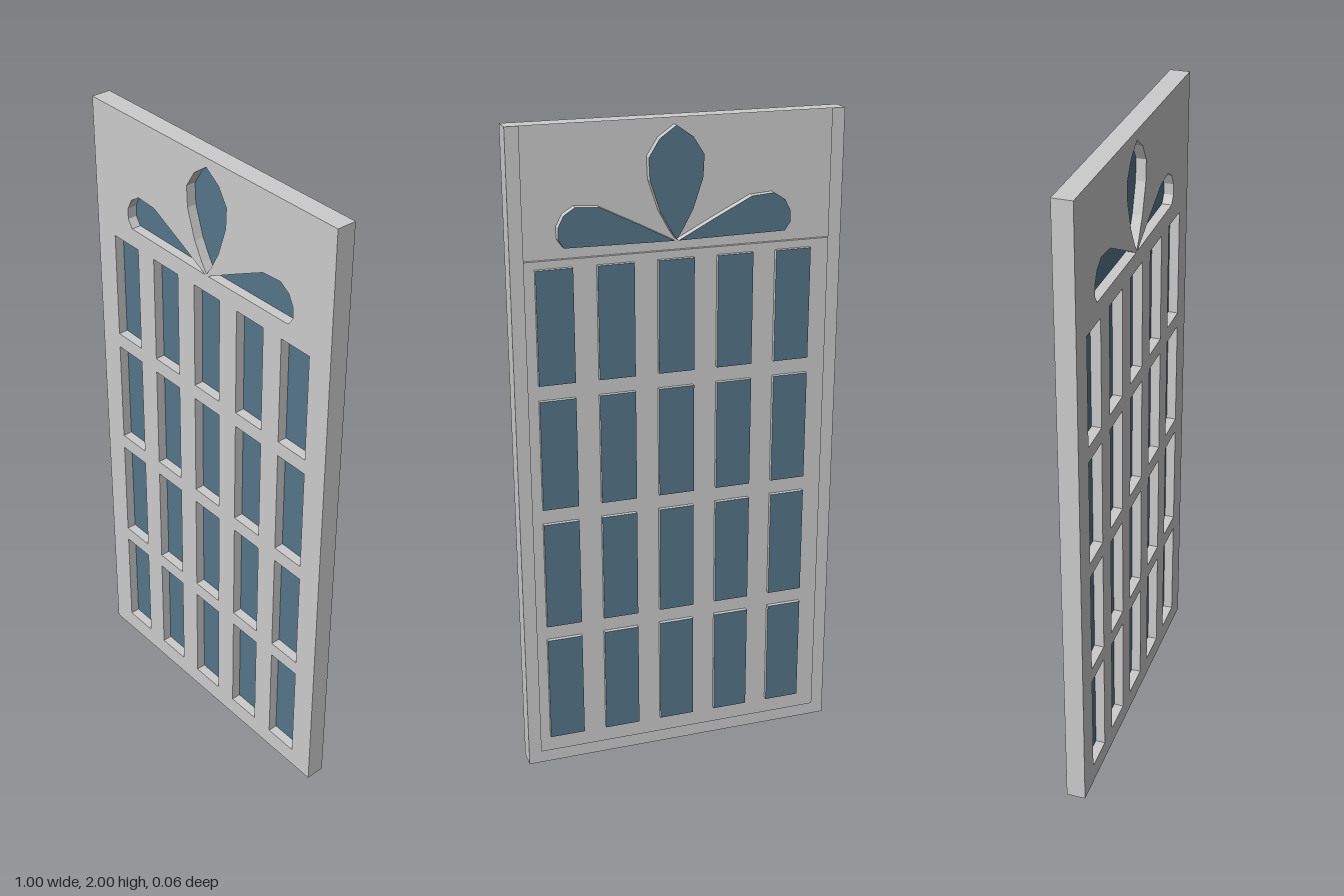
import * as THREE from 'three';

const grey = new THREE.MeshStandardMaterial({ color: 0xcccccc, flatShading: true, side: THREE.DoubleSide });
const blue = new THREE.MeshStandardMaterial({ color: 0x557588, side: THREE.DoubleSide });

const FRONT = 0.03, BACK = -0.03, GLASS = 0;

const toShape = pts => new THREE.Shape(pts.map(p => new THREE.Vector2(p[0], p[1])));
const rect = (x0, y0, x1, y1) => [[x0, y0], [x1, y0], [x1, y1], [x0, y1]];

function add(parent, name, geometry, material, z = 0) {
  const mesh = new THREE.Mesh(geometry, material);
  mesh.name = name;
  mesh.position.z = z;
  parent.add(mesh);
  return mesh;
}

// Flat plate with openings, its front at z1 and its back at z0
function plate(outline, holes, z0, z1) {
  const shape = toShape(outline);
  holes.forEach(h => shape.holes.push(toShape(h)));
  return new THREE.ExtrudeGeometry(shape, { depth: z1 - z0, bevelEnabled: false }).translate(0, 0, z0);
}

// Thin wall following a closed outline between two depths
function wall(pts, z0, z1) {
  const pos = [];
  pts.forEach(([ax, ay], i) => {
    const [bx, by] = pts[(i + 1) % pts.length];
    pos.push(ax, ay, z0, bx, by, z0, bx, by, z1, ax, ay, z0, bx, by, z1, ax, ay, z1);
  });
  const g = new THREE.BufferGeometry();
  g.setAttribute('position', new THREE.Float32BufferAttribute(pos, 3));
  g.computeVertexNormals();
  return g;
}

export function createModel() {
  const model = new THREE.Group();
  model.name = 'windowedDoor';

  // Window openings: five columns, four rows
  const panes = [];
  for (let row = 0; row < 4; row++) {
    for (let col = 0; col < 5; col++) {
      const x = (col - 2) * 0.1825, y = 0.237 + row * 0.3925;
      panes.push(rect(x - 0.055, y - 0.172, x + 0.055, y + 0.172));
    }
  }

  // Three petal openings above the windows
  const half = [[0.02, 1.675], [0.05, 1.73], [0.08, 1.82], [0.083, 1.885], [0.05, 1.937]];
  const centre = [[0, 1.645], ...half, [0, 1.972], ...half.map(([x, y]) => [-x, y]).reverse()];
  const side = [[0.006, 1.641], [0.335, 1.645], [0.352, 1.67], [0.351, 1.705], [0.334, 1.738],
    [0.3, 1.76], [0.23, 1.755], [0.11, 1.695]];
  const petals = [centre, side, side.map(([x, y]) => [-x, y]).reverse()];

  // Front skin, thinner behind the petals than behind the windows
  add(model, 'upperPanel', plate(rect(-0.5, 1.61, 0.5, 2), petals, 0.024, FRONT), grey);
  add(model, 'lowerPanel', plate(rect(-0.5, 0, 0.5, 1.61), panes, 0.013, FRONT), grey);

  // Outer edge and the lip folded in at the back
  add(model, 'outerEdge', wall(rect(-0.5, 0, 0.5, 2), BACK, FRONT), grey);
  const lip = [[-0.5, 2], [-0.5, 0], [0.5, 0], [0.5, 2], [0.46, 2], [0.46, 0.04], [-0.46, 0.04], [-0.46, 2]];
  add(model, 'backLip', new THREE.ShapeGeometry(toShape(lip)), grey, BACK);

  // Pocket walls and glazing for every opening
  const glaze = (name, outlines) => outlines.forEach(pts => {
    const unit = new THREE.Group();
    unit.name = name;
    add(unit, name + 'Reveal', wall(pts, GLASS, FRONT), grey);
    add(unit, name + 'Glass', new THREE.ShapeGeometry(toShape(pts)), blue, GLASS);
    model.add(unit);
  });
  glaze('window', panes);
  glaze('petal', petals);

  return model;
}
